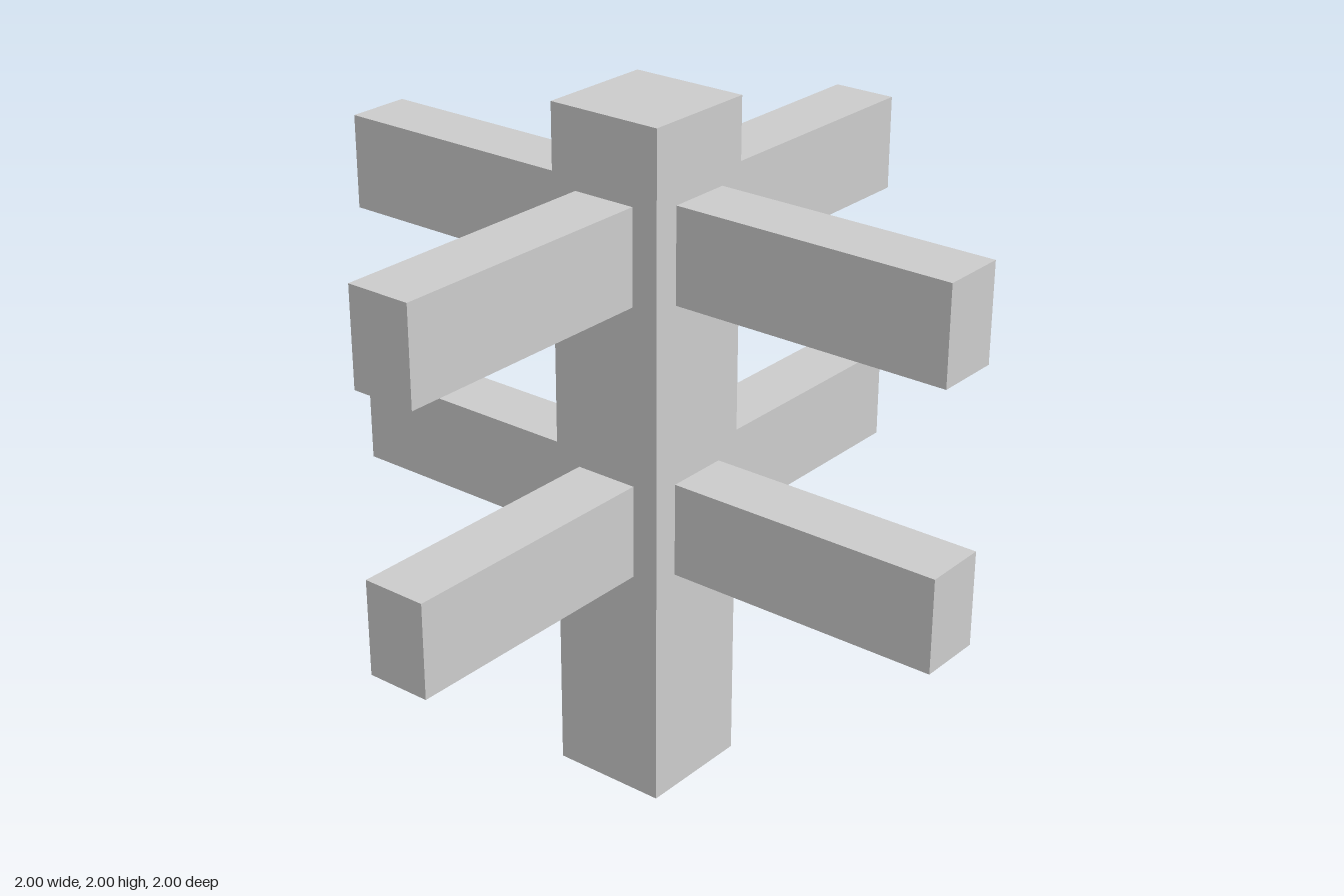
import * as THREE from 'three';

export function createModel() {
  const model = new THREE.Group();
  model.name = 'crossArmPost';
  const material = new THREE.MeshStandardMaterial({ color: 0xcccccc, flatShading: true });

  const postX = -0.004, postZ = -0.009; // post axis, slightly off centre
  const postWidth = 0.352, half = postWidth / 2;
  const armWidth = 0.192, armHeight = 0.277;

  const addBox = (name, min, max) => {
    const size = max.map((v, i) => v - min[i]);
    const mesh = new THREE.Mesh(new THREE.BoxGeometry(...size), material);
    mesh.position.set(...min.map((v, i) => (v + max[i]) / 2));
    mesh.name = name;
    model.add(mesh);
  };

  // Upright square post
  addBox('post', [postX - half, 0, postZ - half], [postX + half, 2, postZ + half]);

  // Two tiers of four arms, each running from a post face to the outer limit
  const w = armWidth / 2;
  for (const [tier, y] of [['lower', 0.835], ['upper', 1.635]]) {
    const y0 = y - armHeight / 2, y1 = y + armHeight / 2;
    addBox(tier + 'LeftArm', [postX + half, y0, postZ - w], [1, y1, postZ + w]);
    addBox(tier + 'RightArm', [-1, y0, postZ - w], [postX - half, y1, postZ + w]);
    addBox(tier + 'FrontArm', [postX - w, y0, postZ + half], [postX + w, y1, 1]);
    addBox(tier + 'BackArm', [postX - w, y0, -1], [postX + w, y1, postZ - half]);
  }
  return model;
}
